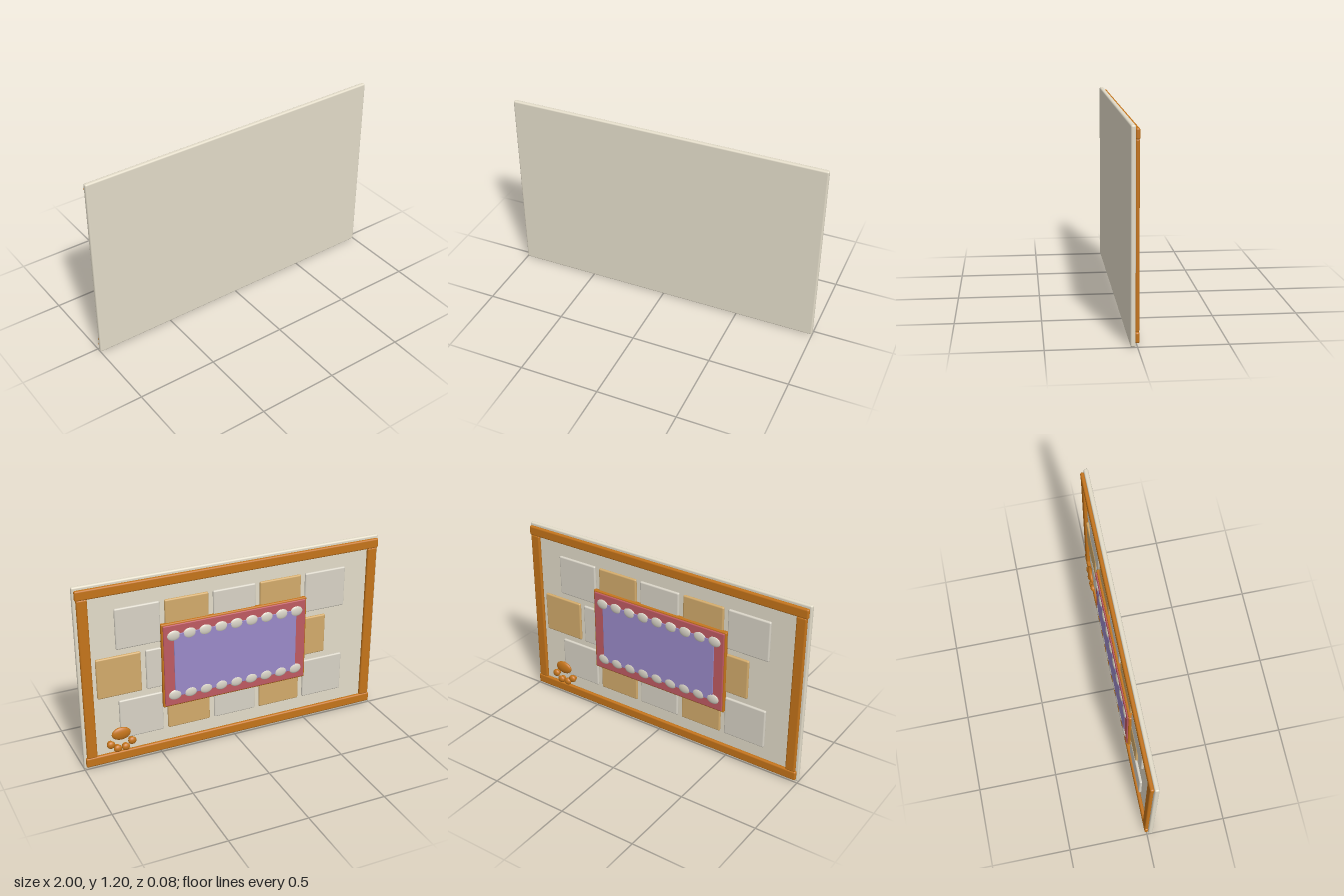
import * as THREE from 'three';
import { RoundedBoxGeometry } from 'three/addons/geometries/RoundedBoxGeometry.js';

const material = (color) => new THREE.MeshStandardMaterial({ color });
const cream = material(0xe3dcc9);
const stone = material(0xd8d3c6);
const tan = material(0xd3ab6b);
const wood = material(0xc4741a);
const red = material(0xbf5a62);
const purple = material(0x9a8ac8);

// Rounded slab centred on x, y and spanning zBack..zFront
function slab(name, mat, x, y, w, h, zBack, zFront, radius) {
  const mesh = new THREE.Mesh(new RoundedBoxGeometry(w, h, zFront - zBack, 3, radius), mat);
  mesh.position.set(x, y, (zBack + zFront) / 2);
  mesh.name = name;
  return mesh;
}

// Flattened sphere
function blob(name, mat, x, y, z, rx, ry, rz) {
  const mesh = new THREE.Mesh(new THREE.SphereGeometry(1, 24, 16), mat);
  mesh.scale.set(rx, ry, rz);
  mesh.position.set(x, y, z);
  mesh.name = name;
  return mesh;
}

export function createModel() {
  const model = new THREE.Group();
  model.name = 'wallPanel';

  // Backing board
  model.add(slab('board', cream, 0, 0.6, 2, 1.2, 0.01, 0.038, 0.01));

  // Border rails
  const frame = new THREE.Group();
  frame.name = 'frame';
  for (const s of [-1, 1]) {
    frame.add(slab('crossRail', wood, 0, 0.6 + s * 0.552, 1.98, 0.062, -0.013, 0.012, 0.01));
    frame.add(slab('sideRail', wood, s * 0.95, 0.6, 0.065, 1.05, -0.012, 0.012, 0.01));
  }
  model.add(frame);

  // Staggered tiles in alternating colours
  const tiles = new THREE.Group();
  tiles.name = 'tiles';
  for (let row = 0; row < 3; row++) {
    for (let col = 0; col < 5; col++) {
      const x = (2 - col) * 0.311 + (row === 1 ? 0.13 : 0);
      const mat = (row + col) % 2 ? tan : stone;
      tiles.add(slab('tile', mat, x, 0.898 - row * 0.302, 0.28, 0.262, -0.006, 0.014, 0.009));
    }
  }
  model.add(tiles);

  // Layered centre plaque
  const plaque = new THREE.Group();
  plaque.name = 'plaque';
  plaque.add(slab('plaqueBase', wood, 0, 0.6, 0.97, 0.56, -0.02, 0.008, 0.008));
  plaque.add(slab('plaqueBorder', red, 0, 0.6, 0.95, 0.54, -0.028, 0, 0.006));
  plaque.add(slab('plaquePanel', purple, 0, 0.6, 0.82, 0.42, -0.032, -0.01, 0.003));

  // Rows of beads along the top and bottom of the panel
  for (const s of [-1, 1]) {
    for (let i = -4; i <= 4; i++) {
      plaque.add(blob('bead', stone, i * 0.1025, 0.6 + s * 0.2, -0.026, 0.043, 0.034, 0.012));
    }
  }
  model.add(plaque);

  // Paw print, toes pointing down
  const paw = new THREE.Group();
  paw.name = 'pawPrint';
  paw.position.set(0.763, 0, 0);
  paw.add(blob('pawPad', wood, 0, 0.208, -0.014, 0.061, 0.042, 0.018));
  for (const s of [-1, 1]) {
    paw.add(blob('outerToe', wood, s * 0.068, 0.142, -0.014, 0.026, 0.025, 0.017));
    paw.add(blob('innerToe', wood, s * 0.026, 0.108, -0.014, 0.026, 0.024, 0.017));
  }
  // Pedestal filling the gap between paw and board
  for (const part of [...paw.children]) {
    const { x, y } = part.position;
    const core = new THREE.Mesh(new THREE.CylinderGeometry(1, 1, 1, 24), wood);
    core.rotation.x = Math.PI / 2;
    core.scale.set(part.scale.x * 0.7, 0.025, part.scale.y * 0.7);
    core.position.set(x, y, -0.001);
    core.name = 'pawBacking';
    paw.add(core);
  }
  model.add(paw);

  return model;
}
